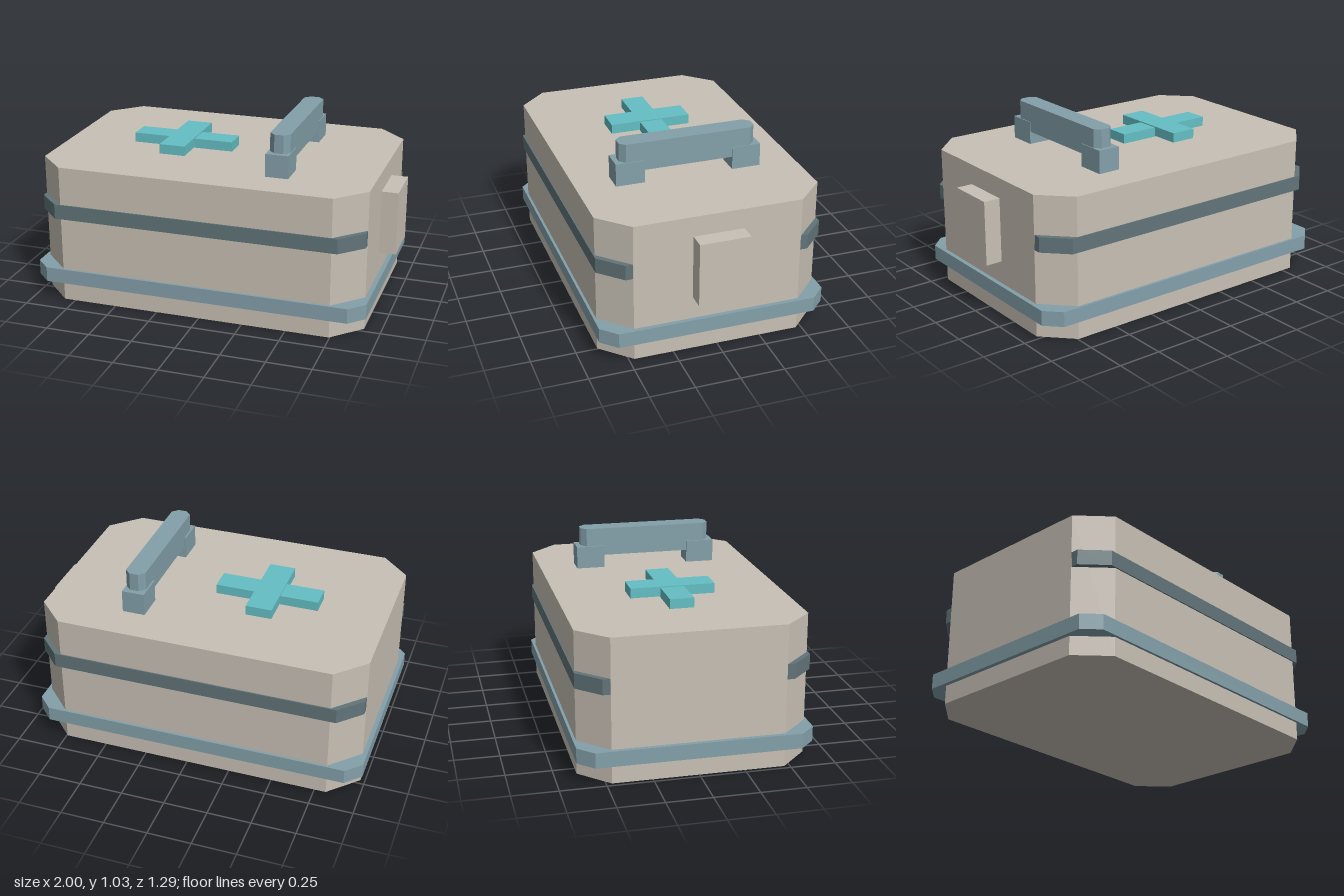
import * as THREE from 'three';

function material(name, color) {
  const m = new THREE.MeshStandardMaterial({ color });
  m.name = name;
  return m;
}

// Vertical prism with cut corners, spanning x0..x1, y0..y1, z0..z1
function chamferedPrism(x0, x1, y0, y1, z0, z1, cut) {
  const shape = new THREE.Shape([
    [x0 + cut, -z0], [x0, -z0 - cut], [x0, -z1 + cut], [x0 + cut, -z1],
    [x1 - cut, -z1], [x1, -z1 + cut], [x1, -z0 - cut], [x1 - cut, -z0],
  ].map(([x, y]) => new THREE.Vector2(x, y)));
  const g = new THREE.ExtrudeGeometry(shape, { depth: y1 - y0, bevelEnabled: false });
  g.rotateX(-Math.PI / 2);
  g.translate(0, y0, 0);
  return g;
}

function block(x0, x1, y0, y1, z0, z1) {
  const g = new THREE.BoxGeometry(x1 - x0, y1 - y0, z1 - z0);
  g.translate((x0 + x1) / 2, (y0 + y1) / 2, (z0 + z1) / 2);
  return g;
}

export function createModel() {
  const caseGrey = material('warm grey', 0xc8c0b5);
  const blueGrey = material('blue grey', 0x84a0aa);
  const darkGrey = material('dark blue grey', 0x617479);
  const teal = material('teal', 0x64bfc4);

  const group = new THREE.Group();
  group.name = 'case';
  const add = (name, geometry, mat) => {
    const mesh = new THREE.Mesh(geometry, mat);
    mesh.name = name;
    group.add(mesh);
  };

  // Case body, lid seam and base rim
  add('body', chamferedPrism(-0.975, 0.905, 0, 0.8, -0.63, 0.63, 0.16), caseGrey);
  add('seamBand', chamferedPrism(-0.974, 0.904, 0.495, 0.58, -0.637, 0.637, 0.125), darkGrey);
  add('baseRim', chamferedPrism(-1, 0.93, 0.105, 0.19, -0.645, 0.645, 0.085), blueGrey);

  // Side clasp
  add('clasp', block(0.9, 1, 0.32, 0.685, -0.142, 0.142), caseGrey);

  // Raised cross on the lid
  add('crossLongBar', block(-0.585, 0.012, 0.798, 0.855, -0.069, 0.066), teal);
  add('crossShortBar', block(-0.365, -0.215, 0.805, 0.861, -0.238, 0.24), teal);

  // Carrying handle
  add('handlePostFront', block(0.315, 0.445, 0.795, 0.93, 0.253, 0.417), blueGrey);
  add('handlePostBack', block(0.315, 0.445, 0.795, 0.93, -0.417, -0.253), blueGrey);
  add('handleGrip', chamferedPrism(0.325, 0.44, 0.872, 1.035, -0.388, 0.389, 0.032), blueGrey);

  return group;
}
